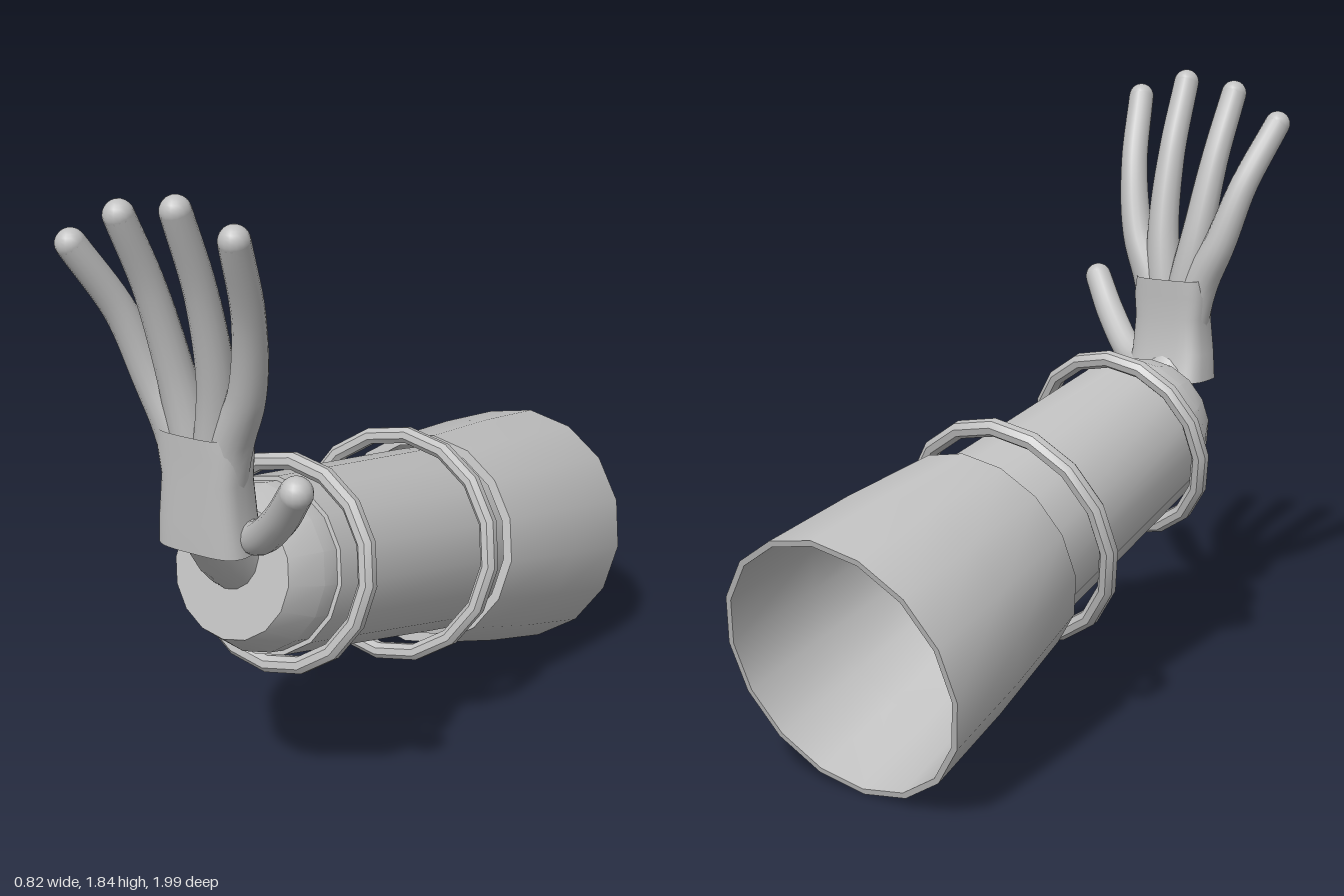
import * as THREE from 'three';
import { mergeGeometries, toCreasedNormals } from 'three/addons/utils/BufferGeometryUtils.js';

const TILT = 1.328;                                   // arm axis rises gently to the front
const BACK = new THREE.Vector3(-0.022, 0.385, -0.905); // centre of the open back end
const SIDES = 16;

// Point on the arm axis at distance s from the back end
const onAxis = (s) => [BACK.x, BACK.y + s * Math.cos(TILT), BACK.z + s * Math.sin(TILT)];

// Turned shell from [radius, distance] pairs, with hard edges kept
function turned(points) {
  const profile = points.map(([r, s]) => new THREE.Vector2(r, s));
  return toCreasedNormals(new THREE.LatheGeometry(profile, SIDES), 0.5);
}

// Chamfered hoop around the arm axis
function hoop(radius, s) {
  const points = [];
  for (let i = 0; i <= 8; i++) {
    const a = (i + 0.5) * Math.PI / 4;
    points.push([radius + 0.026 * Math.cos(a), s + 0.029 * Math.sin(a)]);
  }
  return turned(points);
}

// Smooth limb along a path, with a radius at each point and round ends
function limb(path, radii) {
  const pts = path.map((p) => new THREE.Vector3(...p));
  const curve = new THREE.CatmullRomCurve3(pts);
  const steps = 24, around = 16;
  const tube = new THREE.TubeGeometry(curve, steps, 1, around);
  const pos = tube.attributes.position, v = new THREE.Vector3();
  for (let i = 0; i <= steps; i++) {
    const u = i / steps, c = curve.getPointAt(u);
    const f = curve.getUtoTmapping(u) * (radii.length - 1);
    const k = Math.min(Math.floor(f), radii.length - 2);
    const r = THREE.MathUtils.lerp(radii[k], radii[k + 1], f - k);
    for (let j = 0; j <= around; j++) {
      const n = i * (around + 1) + j;
      v.fromBufferAttribute(pos, n).sub(c).multiplyScalar(r).add(c);
      pos.setXYZ(n, v.x, v.y, v.z);
    }
  }
  const ends = [0, pts.length - 1].map((i) =>
    new THREE.SphereGeometry(radii[i], 16, 12).translate(pts[i].x, pts[i].y, pts[i].z));
  return mergeGeometries([tube, ...ends]);
}

// Open palm wrap: rounded-box sections [y, centreX, centreZ, halfX, halfZ]
function palmWrap() {
  const sections = [
    [0.885, -0.022, 0.75, 0.138, 0.09],
    [0.97, -0.022, 0.763, 0.128, 0.08],
    [1.08, -0.018, 0.768, 0.118, 0.075],
    [1.15, -0.02, 0.768, 0.125, 0.078],
    [1.205, -0.022, 0.768, 0.118, 0.08],
  ];
  const around = 32, rows = sections.length - 1;
  const geo = new THREE.CylinderGeometry(1, 1, 1, around, rows, true);
  const pos = geo.attributes.position;
  const soft = (t) => Math.sign(t) * Math.pow(Math.abs(t), 0.55);
  for (let i = 0; i < pos.count; i++) {
    const [y, cx, cz, hx, hz] = sections[Math.round((pos.getY(i) + 0.5) * rows)];
    pos.setXYZ(i, cx + hx * soft(pos.getX(i)), y, cz + hz * soft(pos.getZ(i)));
  }
  return toCreasedNormals(geo, 0.9);
}

export function createModel() {
  const model = new THREE.Group();
  const grey = new THREE.MeshStandardMaterial({ color: 0xc0c0c0, side: THREE.DoubleSide });
  grey.name = 'plain grey';
  const add = (parent, name, geometry) => {
    const mesh = new THREE.Mesh(geometry, grey);
    mesh.name = name;
    parent.add(mesh);
  };

  // Hollow sleeve, arm tube, end cap and two hoops share one axis
  const arm = new THREE.Group();
  arm.name = 'armShell';
  arm.position.copy(BACK);
  arm.rotation.x = TILT;
  model.add(arm);
  add(arm, 'sleeve', turned([
    [0.387, 0], [0.364, 0.31], [0.326, 0.638], [0.298, 0.638], [0.347, 0.31], [0.37, 0], [0.387, 0],
  ]));
  add(arm, 'armTube', turned([
    [0.287, 0.59], [0.285, 0.66], [0.249, 1.467], [0.222, 1.467], [0.27, 0.59], [0.287, 0.59],
  ]));
  add(arm, 'endCap', turned([[0.238, 1.44], [0.234, 1.525], [0.187, 1.627], [0, 1.627]]));
  add(arm, 'rearHoop', hoop(0.334, 0.794));
  add(arm, 'frontHoop', hoop(0.287, 1.396));

  // Inner forearm bending up out of the cap into the wrist
  add(model, 'forearm', limb(
    [onAxis(0.48), onAxis(1.0), onAxis(1.45), [-0.035, 0.83, 0.66], [-0.03, 0.93, 0.76]],
    [0.125, 0.12, 0.11, 0.095, 0.075]));

  // Hand
  const hand = new THREE.Group();
  hand.name = 'hand';
  model.add(hand);
  add(hand, 'palm', palmWrap());
  const fingers = [
    [[-0.07, 1.02, 0.77], [-0.105, 1.18, 0.775], [-0.17, 1.32, 0.79], [-0.222, 1.5, 0.84], [-0.278, 1.69, 0.95]],
    [[-0.035, 1.02, 0.77], [-0.06, 1.18, 0.775], [-0.087, 1.36, 0.80], [-0.107, 1.58, 0.86], [-0.12, 1.78, 0.95]],
    [[-0.005, 1.02, 0.77], [0.02, 1.18, 0.775], [0.043, 1.36, 0.80], [0.052, 1.59, 0.86], [0.055, 1.81, 0.95]],
    [[0.03, 1.02, 0.77], [0.065, 1.18, 0.775], [0.135, 1.33, 0.795], [0.187, 1.54, 0.85], [0.225, 1.76, 0.95]],
  ];
  fingers.forEach((path, i) =>
    add(hand, `finger${i + 1}`, limb(path, [0.06, 0.06, 0.05, 0.043, 0.04])));
  add(hand, 'thumb', limb(
    [[0.06, 0.92, 0.72], [0.14, 0.94, 0.765], [0.27, 1.045, 0.85], [0.365, 1.155, 0.915]],
    [0.045, 0.047, 0.046, 0.043]));

  return model;
}
